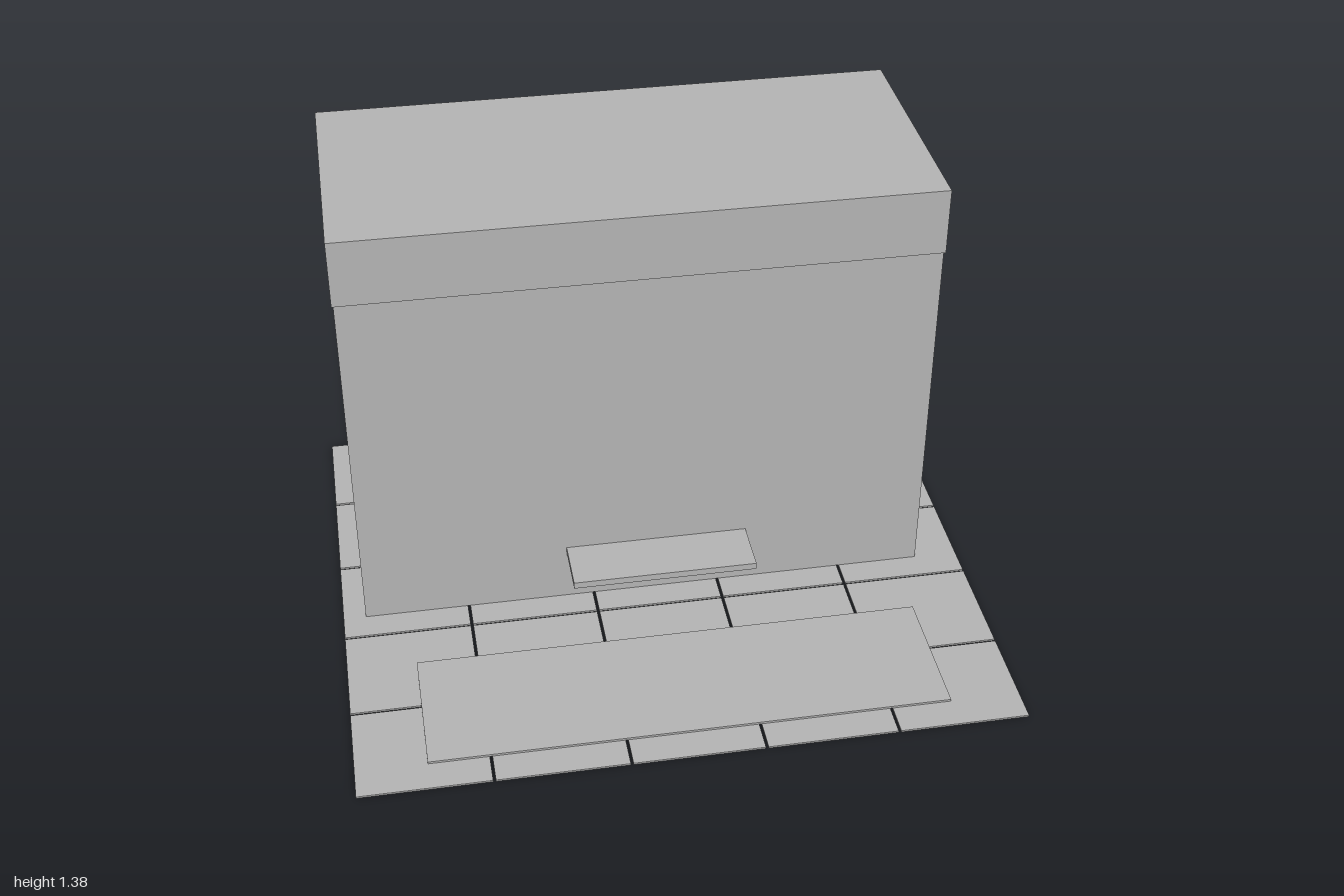
import * as THREE from 'three';

export function createModel() {
  const group = new THREE.Group();
  const grey = new THREE.MeshStandardMaterial({ color: 0xb2b2b2 });
  grey.name = 'grey';

  // Box given by its lowest and highest corner
  function addBox(name, [x0, y0, z0], [x1, y1, z1], parent = group) {
    const mesh = new THREE.Mesh(new THREE.BoxGeometry(x1 - x0, y1 - y0, z1 - z0), grey);
    mesh.name = name;
    mesh.position.set((x0 + x1) / 2, (y0 + y1) / 2, (z0 + z1) / 2);
    parent.add(mesh);
    return mesh;
  }

  // Paved ground: five by five slabs with narrow joints
  const paving = new THREE.Group();
  paving.name = 'paving';
  group.add(paving);
  const n = 5, gap = 0.008, slabTop = 0.006, halfX = 1, halfZ = 0.853;
  const w = (2 * halfX - (n - 1) * gap) / n;
  const d = (2 * halfZ - (n - 1) * gap) / n;
  for (let i = 0; i < n; i++) {
    for (let j = 0; j < n; j++) {
      const x = -halfX + i * (w + gap);
      const z = -halfZ + j * (d + gap);
      addBox('pavingSlab', [x, 0, z], [x + w, slabTop, z + d], paving);
    }
  }

  // Building block with a slightly overhanging top band
  addBox('buildingBody', [-0.93, slabTop, -0.714], [0.863, 1.17, 0.078]);
  addBox('topBand', [-0.935, 1.17, -0.719], [0.868, 1.38, 0.083]);

  // Ledge on the front wall
  addBox('frontLedge', [-0.285, 0.178, 0.078], [0.29, 0.2, 0.253]);

  // Flat mat in front
  addBox('floorMat', [-0.787, slabTop, 0.326], [0.787, 0.013, 0.756]);

  return group;
}
